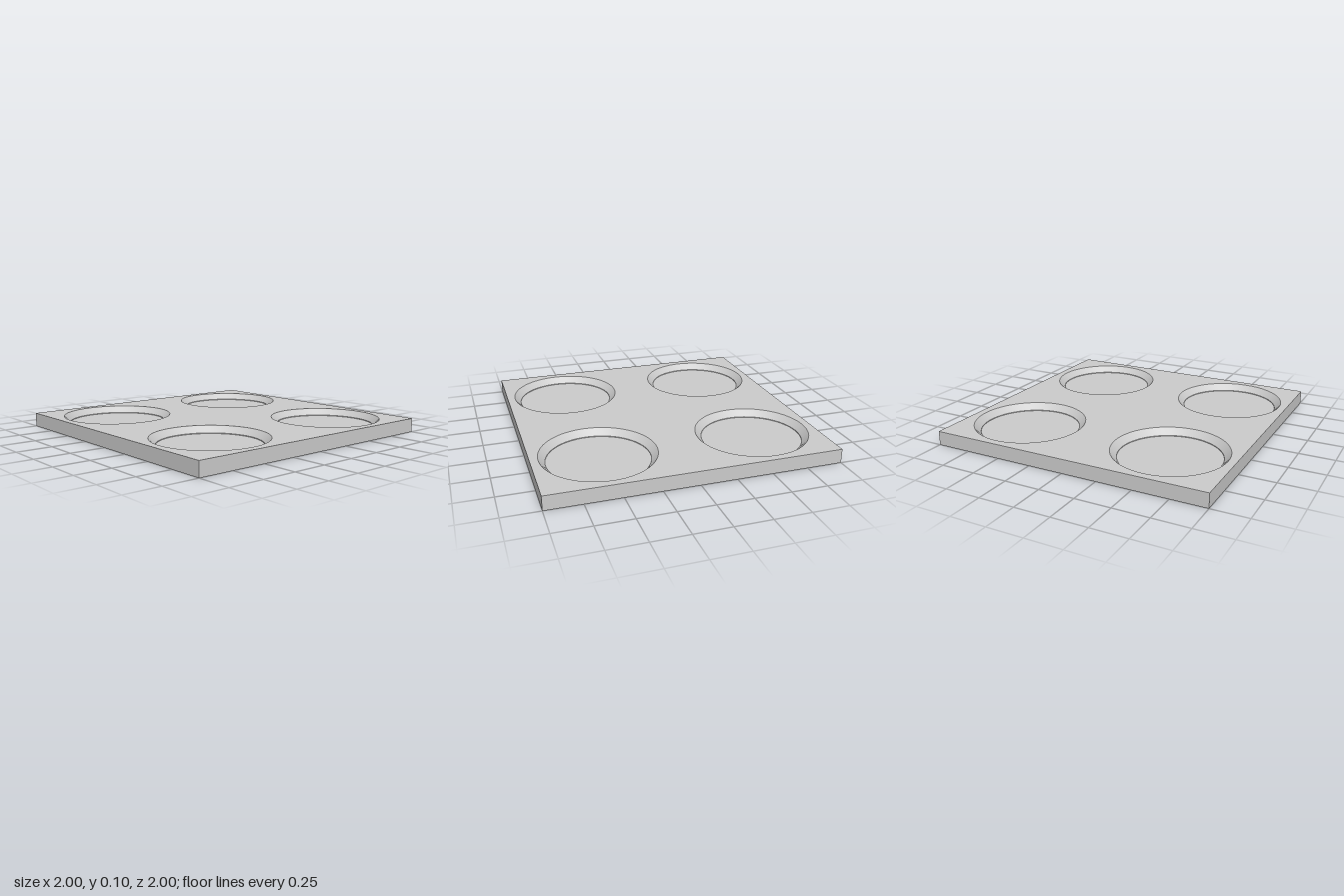
import * as THREE from 'three';
import { toCreasedNormals } from 'three/addons/utils/BufferGeometryUtils.js';

const HEIGHT = 0.1, FLOOR = 0.05, OFFSET = 0.55;
const RIM = 0.395, INNER = 0.35, SEGMENTS = 64;

export function createModel() {
  const model = new THREE.Group();
  model.name = 'tray';
  const material = new THREE.MeshStandardMaterial({ color: 0xcccccc });

  const add = (parent, name, geometry) => {
    const mesh = new THREE.Mesh(geometry, material);
    mesh.name = name;
    parent.add(mesh);
    return mesh;
  };

  const centres = [];
  for (const x of [-OFFSET, OFFSET]) for (const z of [-OFFSET, OFFSET]) centres.push([x, z]);

  // Sides and underside: a box without its top face
  const body = new THREE.BoxGeometry(2, HEIGHT, 2);
  body.setIndex(Array.from(body.index.array).filter((_, i) => i < 12 || i >= 18));
  body.clearGroups();
  body.translate(0, HEIGHT / 2, 0);
  add(model, 'body', body);

  // Top face with four round openings
  const shape = new THREE.Shape([[-1, -1], [1, -1], [1, 1], [-1, 1]].map(([x, y]) => new THREE.Vector2(x, y)));
  for (const [x, z] of centres) {
    shape.holes.push(new THREE.Path().absarc(x, -z, RIM, 0, Math.PI * 2, true));
  }
  const top = new THREE.ShapeGeometry(shape, SEGMENTS / 2);
  top.rotateX(-Math.PI / 2).translate(0, HEIGHT, 0);
  add(model, 'topFace', top);

  // Recess: sloped rim, short upright wall and flat floor
  const profile = [[RIM, HEIGHT], [INNER, 0.055], [INNER, FLOOR]].map(([r, y]) => new THREE.Vector2(r, y));
  const wall = toCreasedNormals(new THREE.LatheGeometry(profile, SEGMENTS), 0.5);
  const floor = new THREE.CircleGeometry(INNER, SEGMENTS);
  floor.rotateX(-Math.PI / 2).translate(0, FLOOR, 0);

  for (const [x, z] of centres) {
    const recess = new THREE.Group();
    recess.name = (z > 0 ? 'front' : 'back') + (x > 0 ? 'Left' : 'Right') + 'Recess';
    recess.position.set(x, 0, z);
    add(recess, 'recessWall', wall);
    add(recess, 'recessFloor', floor);
    model.add(recess);
  }
  return model;
}
